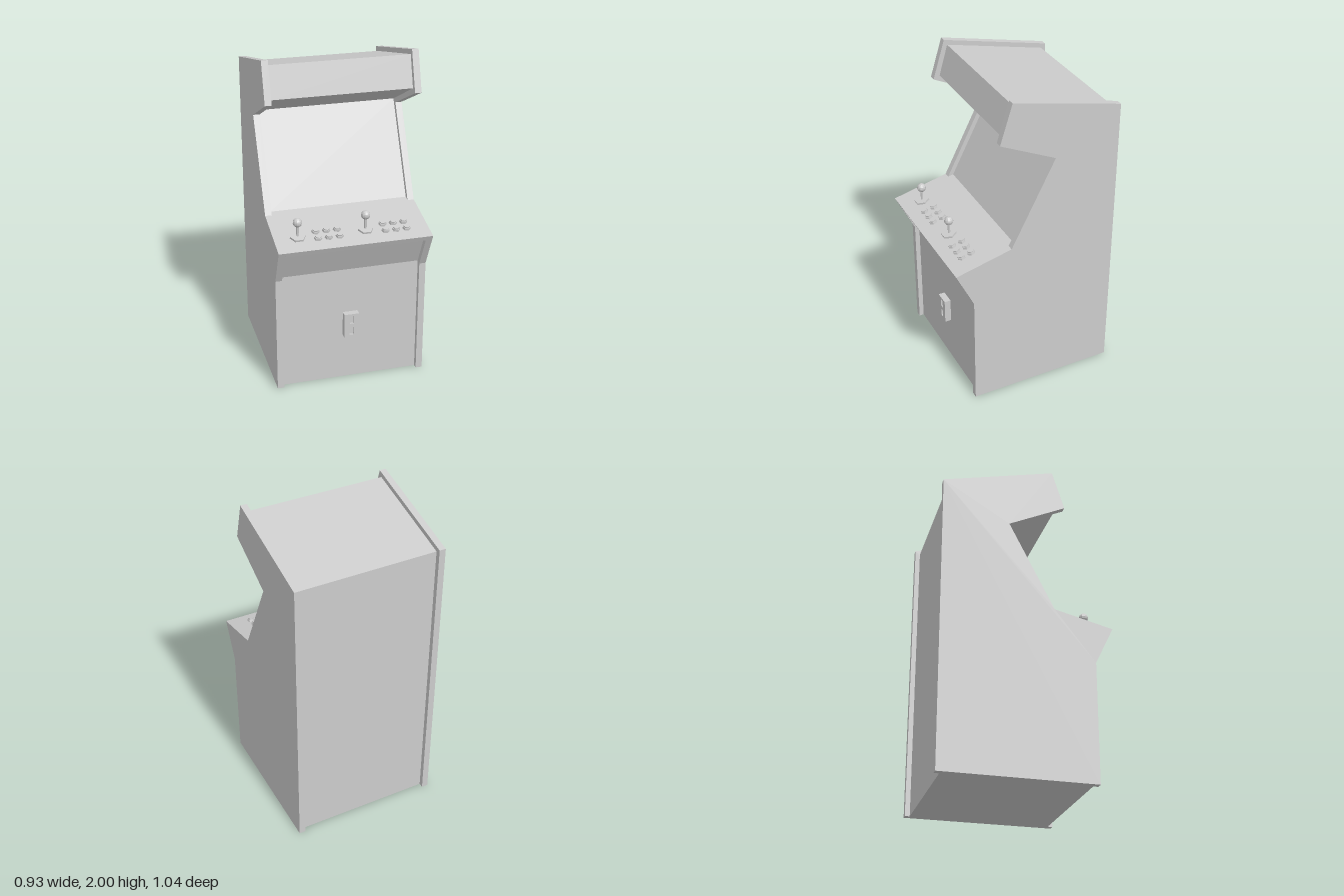
import * as THREE from 'three';

const material = new THREE.MeshStandardMaterial({ color: 0xcccccc, flatShading: true });

function addMesh(parent, name, geometry, x = 0, y = 0, z = 0) {
  const mesh = new THREE.Mesh(geometry, material);
  mesh.name = name;
  mesh.position.set(x, y, z);
  parent.add(mesh);
  return mesh;
}

// Extrudes a [z, y] outline along x, centred on x = 0
function profile(points, width) {
  const shape = new THREE.Shape(points.map(([z, y]) => new THREE.Vector2(z, y)));
  return new THREE.ExtrudeGeometry(shape, { depth: width, bevelEnabled: false })
    .translate(0, 0, -width / 2)
    .rotateY(-Math.PI / 2);
}

const rect = (Path, x, y, w, h) => new Path([
  new THREE.Vector2(x - w / 2, y - h / 2), new THREE.Vector2(x + w / 2, y - h / 2),
  new THREE.Vector2(x + w / 2, y + h / 2), new THREE.Vector2(x - w / 2, y + h / 2),
]);

// Sloping control deck
const slope = Math.atan2(0.085, 0.355);
const deckY = (z) => 0.965 + (0.52 - z) * Math.tan(slope);

function createJoystick(x) {
  const stick = new THREE.Group();
  stick.name = 'joystick';
  stick.position.set(x, deckY(0.392), 0.392);
  const base = addMesh(stick, 'joystickBase',
    new THREE.CylinderGeometry(0.047, 0.047, 0.024, 6).rotateY(Math.PI / 6));
  base.rotation.x = slope;
  addMesh(stick, 'joystickShaft', new THREE.CylinderGeometry(0.008, 0.008, 0.1, 8), 0, 0.05, 0);
  addMesh(stick, 'joystickBall', new THREE.SphereGeometry(0.028, 10, 8), 0, 0.095, 0);
  return stick;
}

function createButton(x, z) {
  const button = new THREE.Group();
  button.name = 'button';
  button.position.set(x, deckY(z), z);
  button.rotation.x = slope;
  addMesh(button, 'buttonCollar', new THREE.CylinderGeometry(0.022, 0.027, 0.026, 6).rotateY(0.25));
  addMesh(button, 'buttonCap', new THREE.CylinderGeometry(0.018, 0.018, 0.04, 6).rotateY(0.25));
  return button;
}

export function createModel() {
  const model = new THREE.Group();
  model.name = 'arcadeCabinet';

  // Side panels
  const sideOutline = [
    [0.41, 0], [0.41, 0.735], [0.52, 0.965], [0.165, 1.05], [-0.11, 1.59],
    [0.24, 1.757], [0.165, 2], [-0.52, 1.835], [-0.52, 0],
  ];
  for (const side of [-1, 1]) {
    addMesh(model, side > 0 ? 'leftSidePanel' : 'rightSidePanel',
      profile(sideOutline, 0.04), side * 0.445, 0, 0);
  }

  // Inset body with screen and marquee faces, flush with the sides at the deck
  addMesh(model, 'cabinetBody', profile([
    [0.38, 0], [0.38, 0.742], [0.473, 0.937], [0.506, 0.935], [0.52, 0.965], [0.165, 1.05],
    [0.13, 1.058], [-0.149, 1.603], [0.2, 1.775], [0.145, 1.965], [-0.49, 1.812], [-0.49, 0],
  ], 0.85));

  // Two sets of controls
  for (const x of [-0.323, 0.087]) {
    model.add(createJoystick(x));
    for (const z of [0.362, 0.424]) {
      for (let i = 0; i < 3; i++) model.add(createButton(x + 0.114 + i * 0.065, z));
    }
  }

  // Coin door with two slots
  const plate = rect(THREE.Shape, 0, 0.375, 0.092, 0.158);
  for (const y of [0.414, 0.338]) plate.holes.push(rect(THREE.Path, 0, y, 0.026, 0.05));
  addMesh(model, 'coinDoor',
    new THREE.ExtrudeGeometry(plate, { depth: 0.04, bevelEnabled: false }), 0, 0, 0.38);
  addMesh(model, 'coinSlotBacks', new THREE.BoxGeometry(0.06, 0.14, 0.03), 0, 0.375, 0.393);

  return model;
}
